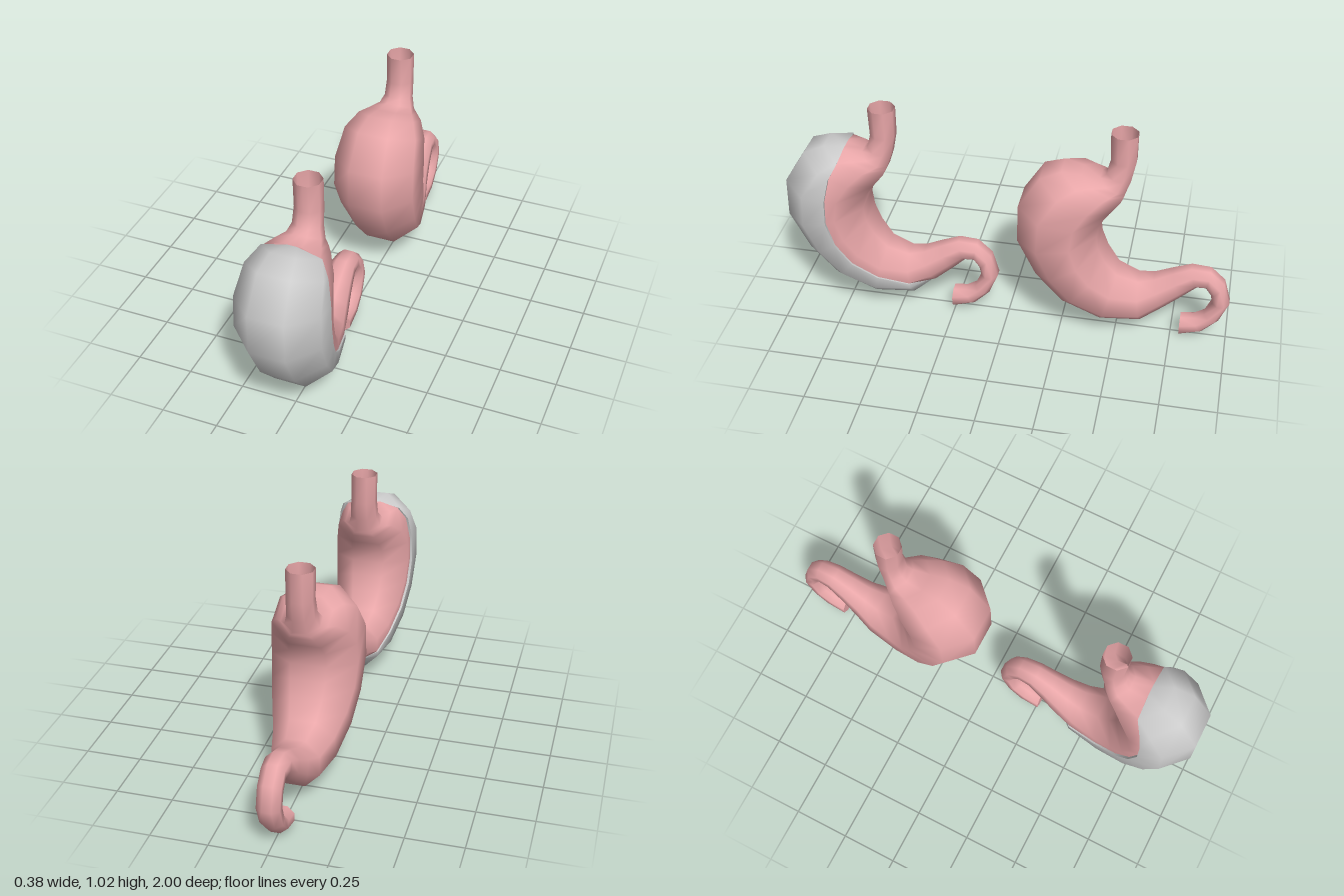
import * as THREE from 'three';
import { toCreasedNormals } from 'three/addons/utils/BufferGeometryUtils.js';

// Cross-sections from gullet to duodenum:
// [outer z, outer y, inner z, inner y, half width, cut depth 0..1 from the outer curve]
const SECTIONS = [
  [-0.425, 1.03, -0.537, 1.03, 0.056, 0],
  [-0.43, 0.9, -0.537, 0.9, 0.056, 0],
  [-0.415, 0.835, -0.52, 0.81, 0.06, 0],
  [-0.39, 0.815, -0.5, 0.75, 0.075, 0],
  [-0.31, 0.825, -0.495, 0.735, 0.1, 0.01],
  [-0.225, 0.838, -0.485, 0.715, 0.13, 0.32],
  [-0.135, 0.8, -0.44, 0.66, 0.168, 0.45],
  [-0.043, 0.65, -0.405, 0.61, 0.187, 0.57],
  [-0.04, 0.47, -0.39, 0.54, 0.19, 0.59],
  [-0.125, 0.295, -0.4, 0.47, 0.183, 0.56],
  [-0.245, 0.155, -0.43, 0.4, 0.165, 0.54],
  [-0.42, 0.07, -0.485, 0.325, 0.135, 0.52],
  [-0.6, 0.08, -0.58, 0.29, 0.105, 0.4],
  [-0.7, 0.16, -0.65, 0.305, 0.08, 0.01],
  [-0.775, 0.225, -0.73, 0.345, 0.065, 0],
  [-0.84, 0.285, -0.81, 0.38, 0.055, 0],
  [-0.88, 0.285, -0.895, 0.375, 0.05, 0],
  [-0.905, 0.25, -0.96, 0.315, 0.05, 0],
  [-0.915, 0.205, -0.99, 0.21, 0.05, 0],
  [-0.885, 0.135, -0.95, 0.11, 0.05, 0],
  [-0.84, 0.107, -0.88, 0.037, 0.05, 0],
  [-0.78, 0.1, -0.78, 0.005, 0.05, 0],
];
const RAD = Math.PI / 180;

// Point of a section on an octagon whose flat sides touch the outline
function ringPoint([oz, oy, iz, iy, w], angle, widthScale) {
  const offFlat = angle - Math.round(angle / 45) * 45;
  const r = 1 / Math.cos(offFlat * RAD);
  const c = Math.cos(angle * RAD) * r / 2, s = Math.sin(angle * RAD) * r;
  return [w * s * widthScale, (oy + iy) / 2 + (oy - iy) * c, (oz + iz) / 2 + (oz - iz) * c];
}

// Angles around the ring for each part
const cutAngle = (t) => Math.acos(1 - 2 * t) / RAD;
const whole = () => [22.5, 67.5, 112.5, 157.5, 202.5, 247.5, 292.5, 337.5];
const inner = (s) => {
  const cut = cutAngle(s[5]);
  const half = [0, 22.5, 67.5, 112.5, 157.5].map((a) => Math.max(a, cut));
  return [...half, ...half.map((a) => 360 - a).reverse()];
};
const outer = (s) => {
  const cut = cutAngle(s[5]);
  const half = [Math.min(22.5, cut), Math.min(67.5, cut), cut];
  return [...half.map((a) => -a).reverse(), ...half];
};

// Skin closed rings together; the closing side of a cut ring is its flat cut face
function skin(sections, anglesOf, cutScale, capEnd) {
  const points = [], index = [];
  const n = anglesOf(sections[0]).length;
  for (const s of sections) {
    const scale = s[5] > 0.1 ? cutScale : 1;
    for (const a of anglesOf(s)) points.push(...ringPoint(s, a, scale));
  }
  for (let i = 0; i < sections.length - 1; i++) {
    for (let j = 0; j < n; j++) {
      const a = i * n + j, a2 = i * n + (j + 1) % n;
      index.push(a, a + n, a2, a + n, a2 + n, a2);
    }
  }
  if (capEnd) {
    const start = (sections.length - 1) * n;
    for (let j = 1; j < n - 1; j++) index.push(start, start + j + 1, start + j);
  }
  const geometry = new THREE.BufferGeometry();
  geometry.setAttribute('position', new THREE.Float32BufferAttribute(points, 3));
  geometry.setIndex(index);
  return toCreasedNormals(geometry, 1.2);
}

export function createModel() {
  const group = new THREE.Group();
  const pink = new THREE.MeshStandardMaterial({ color: 0xe8a6a8, side: THREE.DoubleSide });
  const grey = new THREE.MeshStandardMaterial({ color: 0xcccccc, side: THREE.DoubleSide });
  const add = (name, geometry, material, z) => {
    const mesh = new THREE.Mesh(geometry, material);
    mesh.name = name;
    mesh.position.z = z;
    group.add(mesh);
  };

  // Complete stomach at the back
  add('wholeStomach', skin(SECTIONS, whole, 1, true), pink, -0.01);

  // Divided stomach at the front: remaining sleeve and removed outer portion
  add('stomachSleeve', skin(SECTIONS, inner, 0.94, true), pink, 1.04);
  add('removedPortion', skin(SECTIONS.slice(4, 14), outer, 1, false), grey, 1.04);
  return group;
}
